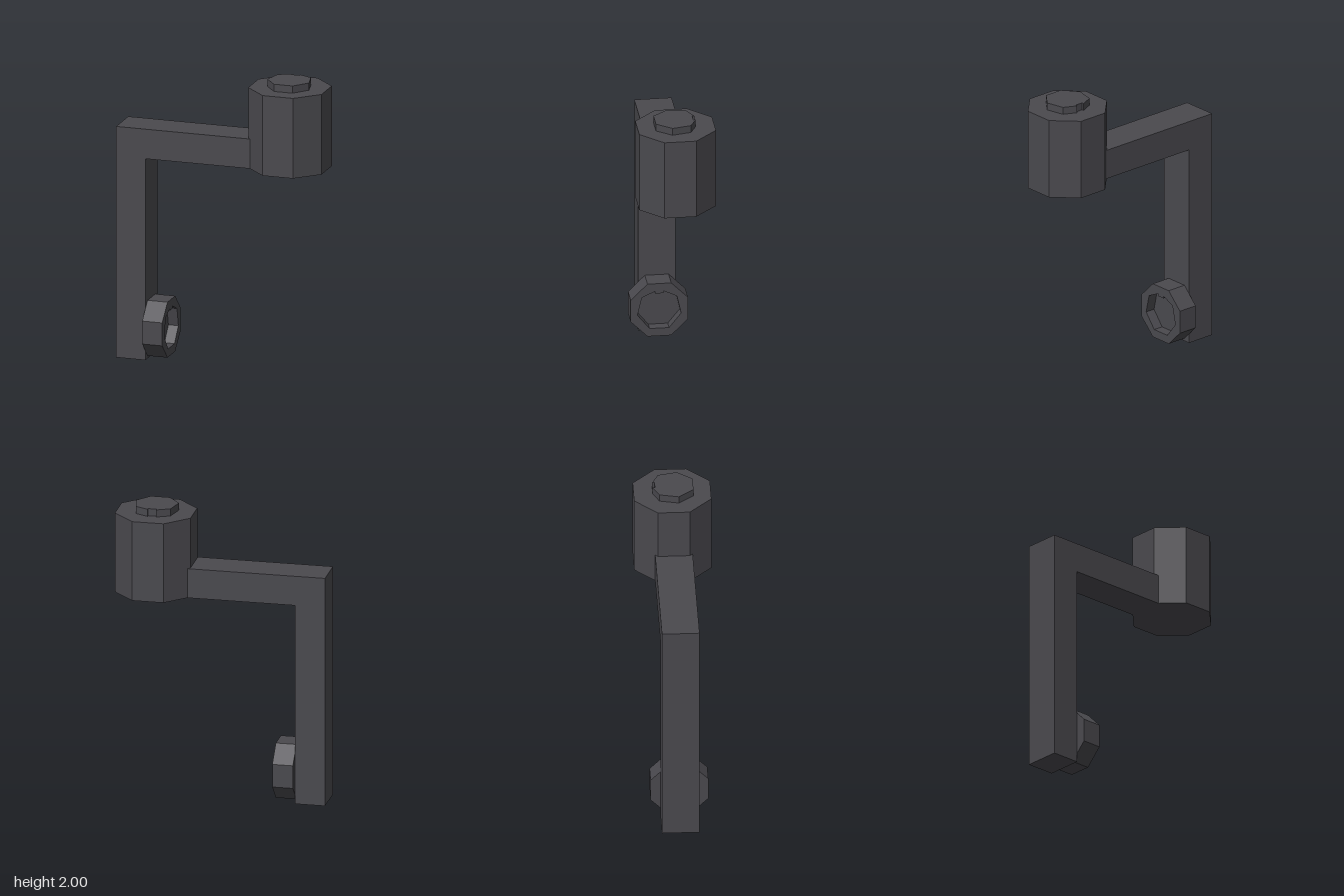
import * as THREE from 'three';

// Regular octagon with flat sides facing the axes
function octagon(apothem) {
  const r = apothem / Math.cos(Math.PI / 8);
  return Array.from({ length: 8 }, (_, i) => {
    const a = (i + 0.5) * Math.PI / 4;
    return new THREE.Vector2(r * Math.cos(a), r * Math.sin(a));
  });
}

// Heptagon, apex up, with a small square key cut into the apex
function keyedHeptagon(r) {
  const pts = [[-0.029, r - 0.014], [-0.029, r - 0.03], [0.029, r - 0.03], [0.029, r - 0.014]]
    .map(([x, y]) => new THREE.Vector2(x, y));
  for (let i = 1; i < 7; i++) {
    const a = Math.PI / 2 - i * Math.PI * 2 / 7;
    pts.push(new THREE.Vector2(r * Math.cos(a), r * Math.sin(a)));
  }
  return pts;
}

export function createModel() {
  const group = new THREE.Group();
  const material = new THREE.MeshStandardMaterial({ color: 0x4a494e });
  material.name = 'dark grey';

  function extrude(name, points, depth, hole) {
    const shape = new THREE.Shape(points);
    if (hole) shape.holes.push(new THREE.Path(hole));
    const geometry = new THREE.ExtrudeGeometry(shape, { depth, bevelEnabled: false });
    const mesh = new THREE.Mesh(geometry, material);
    mesh.name = name;
    group.add(mesh);
    return mesh;
  }

  // L-shaped arm: upright post and horizontal beam
  const profile = [[-0.717, 0], [-0.512, 0], [-0.512, 1.395], [0.222, 1.395], [0.222, 1.6], [-0.717, 1.6]]
    .map(([x, y]) => new THREE.Vector2(x, y));
  extrude('arm', profile, 0.25).position.z = -0.126;

  // Octagonal head with a keyed peg on top, extruded upwards
  const head = extrude('head', octagon(0.257), 0.555);
  head.position.set(0.46, 1.395, -0.002);
  const peg = extrude('peg', keyedHeptagon(0.15), 0.05);
  peg.position.set(0.46, 1.95, 0.003);
  for (const m of [head, peg]) m.rotation.x = -Math.PI / 2;

  // Octagonal socket: solid base and a rim around the keyed recess, facing +x
  const base = extrude('socketBase', octagon(0.192), 0.07);
  base.position.set(-0.512, 0.21, 0);
  const rim = extrude('socketRim', octagon(0.192), 0.07, keyedHeptagon(0.15));
  rim.position.set(-0.442, 0.21, 0);
  for (const m of [base, rim]) m.rotation.y = Math.PI / 2;

  return group;
}
